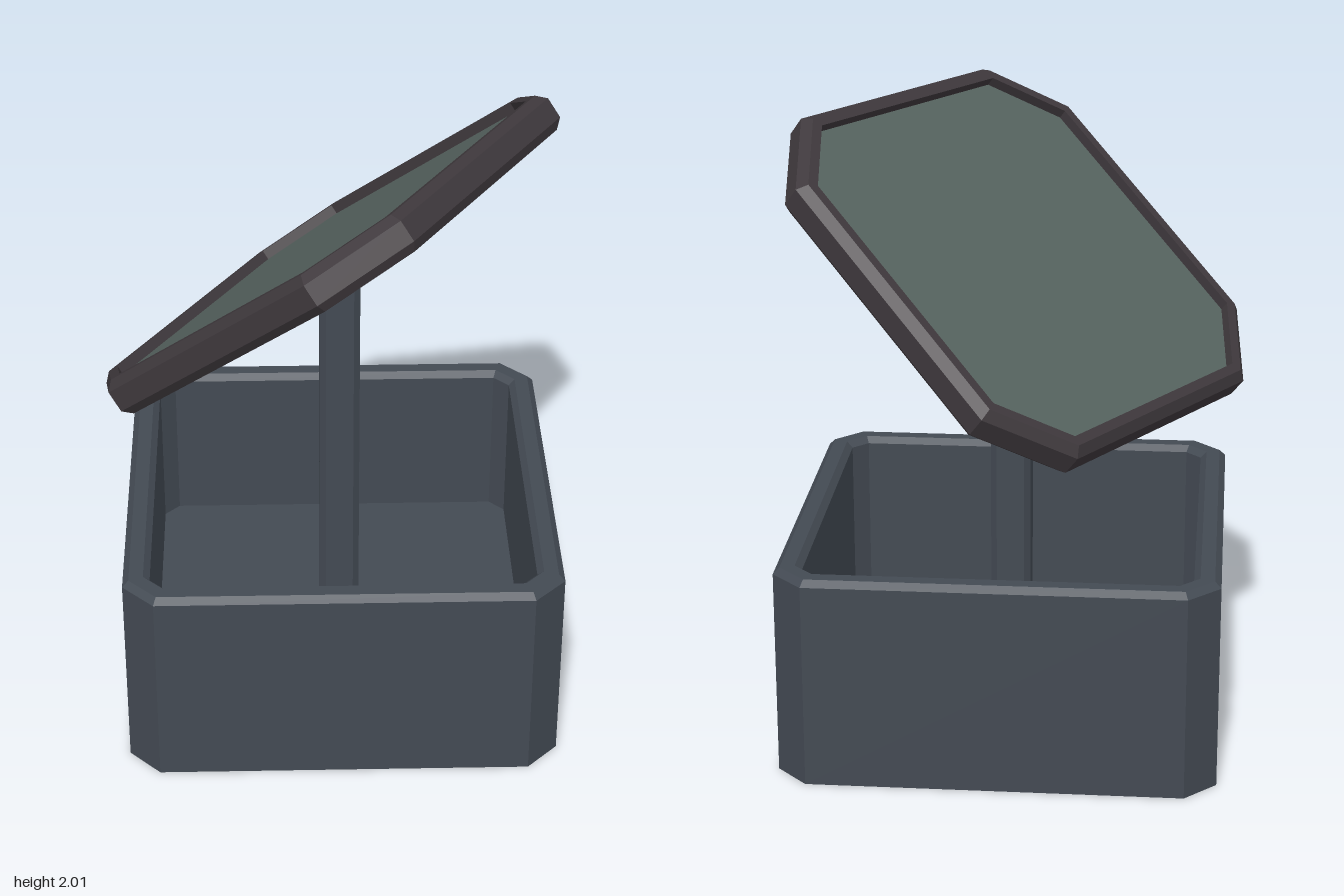
import * as THREE from 'three';

const rad = THREE.MathUtils.degToRad;
const TILT = rad(39.8), TURN = rad(57.7);
const PANEL = new THREE.Vector3(-0.006, 1.53, -0.002);

// Square with cut corners; half = half width, cut = corner cut
function ring(half, cut, y) {
  const e = half - cut;
  return [[half, -e], [e, -half], [-e, -half], [-half, -e], [-half, e], [-e, half], [e, half], [half, e]]
    .map(([x, z]) => [x, y, z]);
}

// Faceted solid from [inset, y] steps, running bottom, outside, top, inside
function loft(half, cut, profile) {
  const rings = profile.map(([inset, y]) => inset === null
    ? ring(0, 0, y)
    : ring(half - inset, cut - inset * (2 - Math.SQRT2), y));
  const pos = [];
  const order = [[0, 0], [1, 0], [1, 1], [0, 0], [1, 1], [0, 1]];
  const same = (a, b) => a.every((v, k) => Math.abs(v - b[k]) < 1e-6);
  for (let i = 0; i + 1 < rings.length; i++) {
    for (let j = 0; j < 8; j++) {
      const quad = order.map(([dj, di]) => rings[i + di][(j + dj) % 8]);
      for (const t of [quad.slice(0, 3), quad.slice(3)]) {
        if (!same(t[0], t[1]) && !same(t[1], t[2]) && !same(t[0], t[2])) pos.push(...t.flat());
      }
    }
  }
  const g = new THREE.BufferGeometry();
  g.setAttribute('position', new THREE.Float32BufferAttribute(pos, 3));
  g.computeVertexNormals();
  return g;
}

function part(name, geometry, color) {
  const mesh = new THREE.Mesh(geometry, new THREE.MeshStandardMaterial({ color, flatShading: true }));
  mesh.name = name;
  return mesh;
}

export function createModel() {
  const model = new THREE.Group();
  model.name = 'mirrorOnBox';

  // Open box with bevelled rim and a raised inner floor
  const base = new THREE.Group();
  base.name = 'base';
  base.position.set(0.025, 0, -0.006);
  base.add(part('box', loft(0.695, 0.1, [
    [null, 0], [0, 0], [0, 0.67], [0.02, 0.69], [0.065, 0.69], [0.085, 0.67], [0.085, 0.14], [null, 0.14],
  ]), 0x434a53));

  // Post, its top cut to the slope of the panel
  const post = loft(0.065, 0.02, [[null, 0.13], [0, 0.13], [0, 1.5], [null, 1.5]]);
  const p = post.attributes.position;
  for (let i = 0; i < p.count; i++) {
    if (p.getY(i) < 1) continue;
    const w = (p.getX(i) + 0.031) * Math.sin(TURN) + p.getZ(i) * Math.cos(TURN);
    p.setY(i, PANEL.y - 0.03 + w * Math.tan(TILT));
  }
  post.computeVertexNormals();
  base.add(part('post', post, 0x434a53));
  model.add(base);

  // Tilted panel: bevelled frame with a recessed pane
  const panel = new THREE.Group();
  panel.name = 'panel';
  panel.position.copy(PANEL);
  panel.rotation.set(-TILT, TURN, 0, 'YXZ');
  panel.add(part('frame', loft(0.695, 0.235, [
    [null, -0.063], [0.028, -0.063], [0, -0.035], [0, 0.035], [0.028, 0.063], [0.06, 0.063], [0.06, 0.028],
  ]), 0x3e383c));
  panel.add(part('pane', loft(0.695, 0.235, [[0.06, 0.03], [null, 0.03]]), 0x56635f));
  model.add(panel);

  return model;
}
